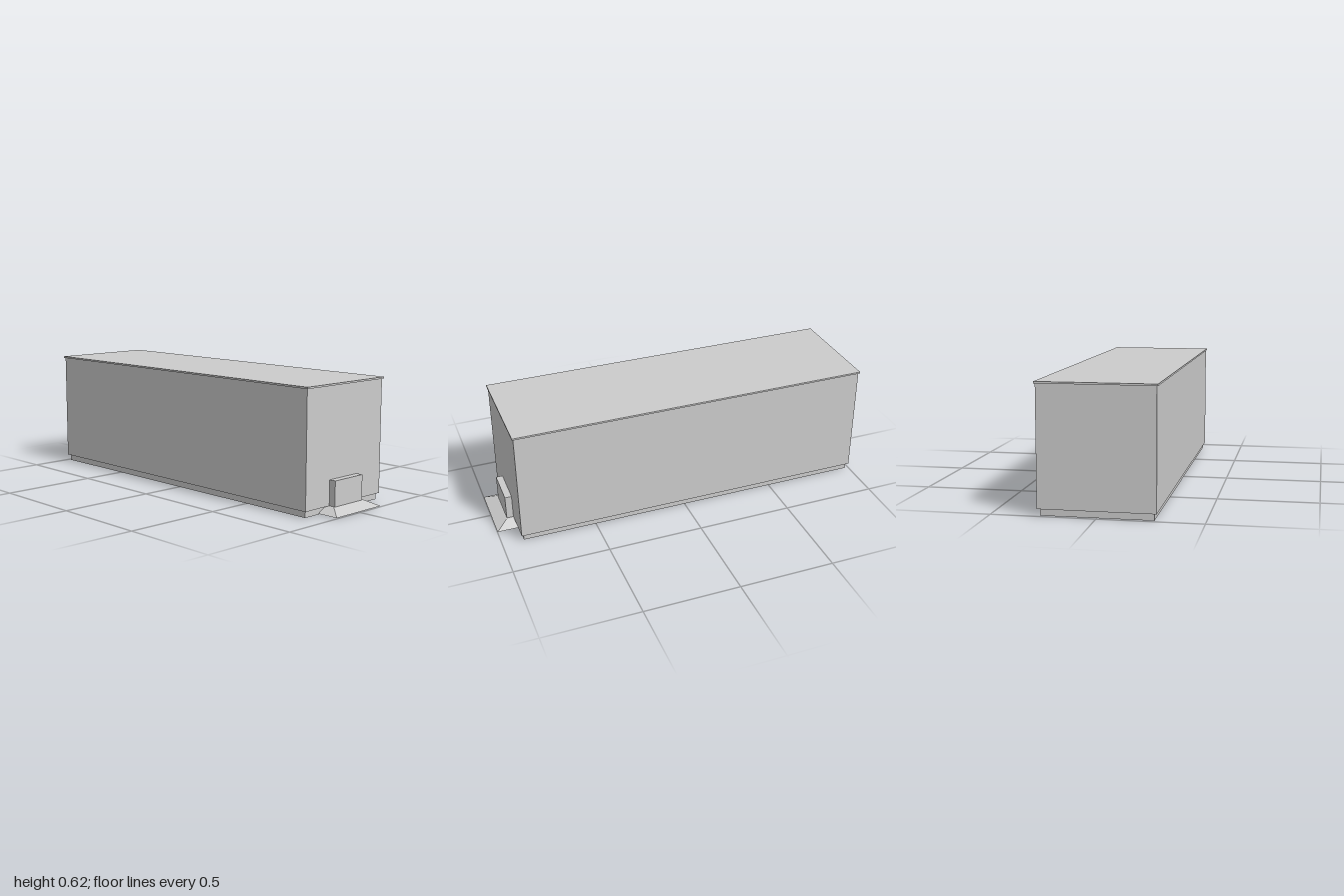
import * as THREE from 'three';

const material = new THREE.MeshStandardMaterial({ color: 0xcccccc, side: THREE.DoubleSide, flatShading: true });
const CENTER_Z = -0.0475;

function surface(name, points, index) {
  let geometry = new THREE.BufferGeometry();
  geometry.setAttribute('position', new THREE.Float32BufferAttribute(points.flat(), 3));
  geometry.setIndex(index);
  geometry = geometry.toNonIndexed();
  geometry.computeVertexNormals();
  const mesh = new THREE.Mesh(geometry, material);
  mesh.name = name;
  return mesh;
}

// Thin rectangular shell through rings of [half width, half depth, y]
function shell(name, rings, capTop = false) {
  const points = [], index = [];
  for (const [w, d, y] of rings) {
    points.push([-w, y, CENTER_Z + d], [w, y, CENTER_Z + d], [w, y, CENTER_Z - d], [-w, y, CENTER_Z - d]);
  }
  for (let r = 0; r < rings.length - 1; r++) {
    for (let i = 0; i < 4; i++) {
      const a = r * 4 + i, b = r * 4 + (i + 1) % 4;
      index.push(a, b, b + 4, a, b + 4, a + 4);
    }
  }
  if (capTop) {
    const t = (rings.length - 1) * 4;
    index.push(t, t + 1, t + 2, t, t + 2, t + 3);
  }
  return surface(name, points, index);
}

// Step with a sloped front and sloped ends, open underneath
function sillStep() {
  const low = 0.004, high = 0.033, back = 0.887;
  const points = [
    [-0.173, low, back], [-0.173, low, 1], [0.162, low, 1], [0.162, low, back],
    [-0.12, high, back], [-0.12, high, 0.938], [0.107, high, 0.938], [0.107, high, back],
  ];
  const index = [];
  for (let i = 0; i < 3; i++) index.push(i, i + 1, i + 5, i, i + 5, i + 4);
  index.push(4, 5, 6, 4, 6, 7);
  return surface('frontStep', points, index);
}

export function createModel() {
  const group = new THREE.Group();
  group.name = 'longBlock';

  // Hollow body, open at the bottom
  group.add(shell('plinth', [[0.267, 0.934, 0], [0.267, 0.934, 0.033]]));
  group.add(shell('walls', [[0.267, 0.934, 0.033], [0.279, 0.946, 0.033], [0.279, 0.946, 0.614]]));
  group.add(shell('roof', [[0.279, 0.946, 0.614], [0.285, 0.9525, 0.614], [0.285, 0.9525, 0.623]], true));

  // Entrance block above the sloped step
  const entrance = new THREE.Mesh(new THREE.BoxGeometry(0.205, 0.128, 0.035), material);
  entrance.name = 'entranceBlock';
  entrance.position.set(-0.0055, 0.097, 0.916);
  group.add(entrance, sillStep());
  return group;
}
